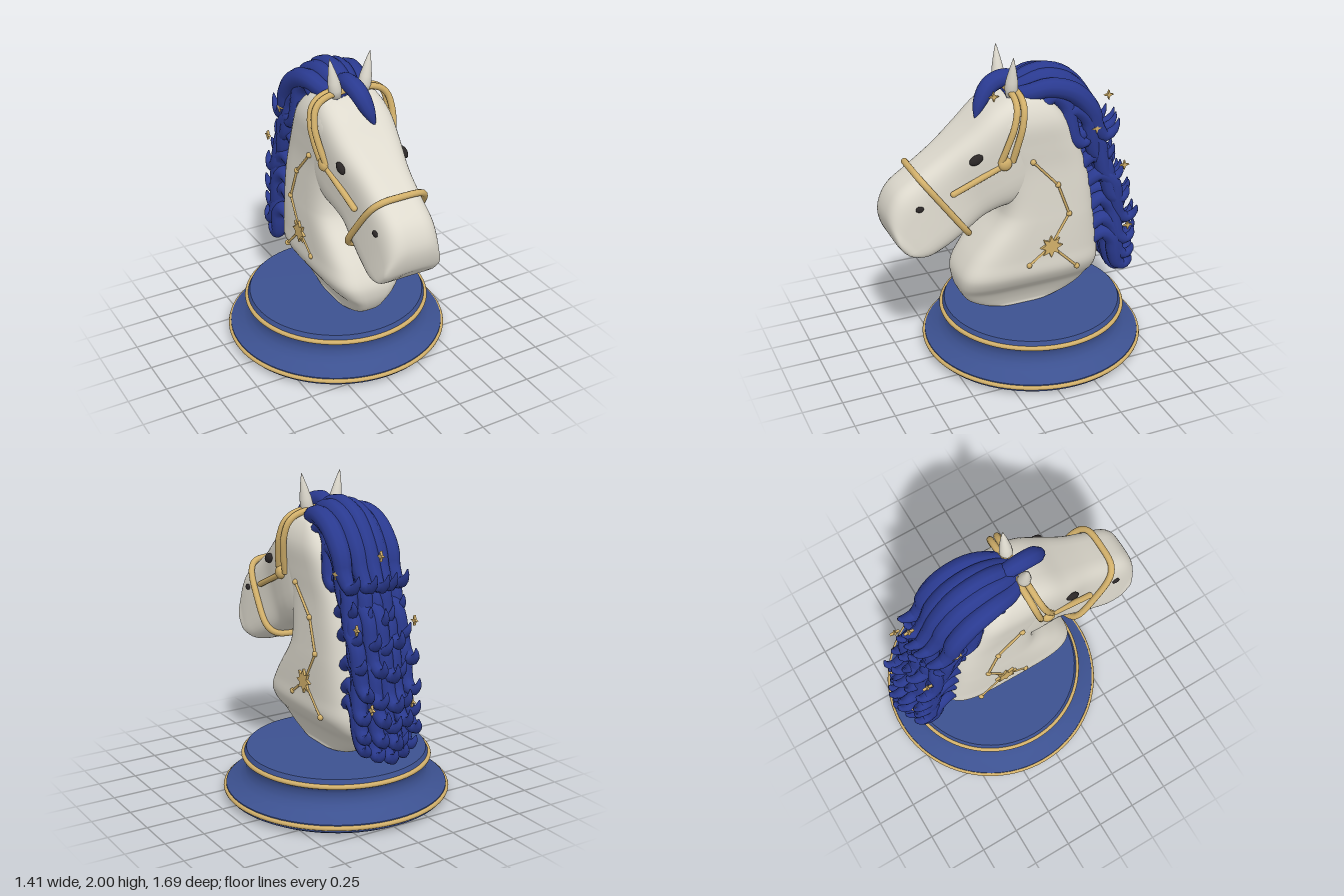
import * as THREE from 'three';
import { toCreasedNormals } from 'three/addons/utils/BufferGeometryUtils.js';

const V = (x, y, z) => new THREE.Vector3(x, y, z);

const material = (name, color) => {
  const m = new THREE.MeshStandardMaterial({ color });
  m.name = name;
  return m;
};

// Smooth skin through closed loops of points, counterclockwise about the direction of travel
function loft(loops, perGap = 1) {
  const n = loops[0].length, rows = (loops.length - 1) * perGap;
  const columns = loops[0].map((_, j) => new THREE.CatmullRomCurve3(loops.map(l => l[j])));
  const pos = [], index = [];
  for (let i = 0; i <= rows; i++) {
    for (let j = 0; j < n; j++) {
      const p = columns[j].getPoint(i / rows);
      pos.push(p.x, p.y, p.z);
      if (i === rows) continue;
      const a = i * n + j, b = i * n + (j + 1) % n;
      index.push(a, b, a + n, b, b + n, a + n);
    }
  }
  const g = new THREE.BufferGeometry();
  g.setAttribute('position', new THREE.Float32BufferAttribute(pos, 3));
  g.setIndex(index);
  g.computeVertexNormals();
  return g;
}

// Rounded trapezoid between two points of the side outline, with a half-width at each
function section([z1, y1, z0, y0, w1, w0], grow = 0) {
  const loop = [], bow = t => Math.sign(t) * Math.sqrt(Math.abs(t));
  const len = Math.hypot(z1 - z0, y1 - y0), k = (len + 2 * grow) / len;
  for (let j = 0; j < 48; j++) {
    const a = j / 48 * Math.PI * 2, u = bow(Math.cos(a)), v = bow(Math.sin(a));
    const w = THREE.MathUtils.lerp(w0, w1, (v + 1) / 2) + grow;
    loop.push(V(u * w, (y1 + y0) / 2 + v * k * (y1 - y0) / 2, (z1 + z0) / 2 + v * k * (z1 - z0) / 2));
  }
  return loop;
}
const collapse = ([z1, y1, z0, y0]) => Array.from({ length: 48 }, () => V(0, (y1 + y0) / 2, (z1 + z0) / 2));
const body = rows => loft([collapse(rows[0]), ...rows.map(r => section(r)), collapse(rows.at(-1))], 5);

// Tapered lock of hair
function lock(points, radius) {
  const curve = new THREE.CatmullRomCurve3(points), n = 26, loops = [];
  const { normals, binormals } = curve.computeFrenetFrames(n);
  for (let i = 0; i <= n; i++) {
    const t = i / n, c = curve.getPointAt(t);
    const r = radius * (0.7 + 0.6 * t) * Math.pow(1 - t * t * t, 0.9) + 0.003;
    loops.push(Array.from({ length: 10 }, (_, j) => {
      const a = j / 10 * Math.PI * 2;
      return c.clone().addScaledVector(normals[i], r * Math.cos(a)).addScaledVector(binormals[i], r * Math.sin(a));
    }));
  }
  return loft(loops);
}

// Star plate facing sideways
function star(points, outer, inner, depth) {
  const shape = new THREE.Shape();
  for (let i = 0; i < points * 2; i++) {
    const r = i % 2 ? inner : outer, a = i / points * Math.PI;
    shape[i ? 'lineTo' : 'moveTo'](r * Math.sin(a), r * Math.cos(a));
  }
  const g = new THREE.ExtrudeGeometry(shape, { depth, bevelEnabled: false });
  return g.translate(0, 0, -depth / 2).rotateY(Math.PI / 2);
}

const rod = (a, b, r) => new THREE.TubeGeometry(new THREE.LineCurve3(a, b), 1, r, 10);

export function createModel() {
  const model = new THREE.Group();
  const ivory = material('ivory', 0xdedace);
  const blue = material('base blue', 0x3c5190);
  const indigo = material('mane blue', 0x2a3a90);
  const gold = material('gold', 0xd2b06a);
  const dark = material('dark', 0x2b2727);
  const add = (name, geometry, mat, x = 0, y = 0, z = 0) => {
    const m = new THREE.Mesh(geometry, mat);
    m.name = name;
    m.position.set(x, y, z);
    model.add(m);
    return m;
  };

  // Round pedestal with two gold rims
  const profile = [[0, 0], [0.64, 0], [0.685, 0.025], [0.695, 0.05], [0.69, 0.075], [0.655, 0.09], [0.605, 0.115],
    [0.57, 0.145], [0.555, 0.18], [0.552, 0.215], [0.562, 0.245], [0.58, 0.262], [0.57, 0.285], [0.56, 0.305], [0, 0.307]];
  const base = new THREE.LatheGeometry(profile.map(p => new THREE.Vector2(...p)), 72);
  add('base', toCreasedNormals(base, 0.6), blue, 0, 0, -0.105);
  for (const [r, y] of [[0.692, 0.055], [0.578, 0.264]])
    add('baseRim', new THREE.TorusGeometry(r, 0.015, 10, 80).rotateX(Math.PI / 2), gold, 0, y, -0.105);

  // Neck, from the poll down to the foot: front z, back z, half-width at each height
  const neck = [[1.755, 0.07, -0.06, 0.15], [1.7, 0.17, -0.17, 0.2], [1.6, 0.25, -0.26, 0.235], [1.45, 0.23, -0.335, 0.232],
    [1.3, 0.16, -0.395, 0.225], [1.13, 0.13, -0.44, 0.23], [1.0, 0.138, -0.458, 0.235], [0.934, 0.17, -0.467, 0.238],
    [0.82, 0.265, -0.485, 0.24], [0.705, 0.355, -0.502, 0.24], [0.6, 0.41, -0.51, 0.24], [0.52, 0.412, -0.5, 0.2],
    [0.45, 0.39, -0.465, 0.14], [0.385, 0.345, -0.415, 0.105], [0.33, 0.25, -0.31, 0.085], [0.305, 0.14, -0.17, 0.08]];
  add('neck', body(neck.map(([y, f, b, w]) => [f, y, b, y, w, w])), ivory);

  // Head, from the poll to the muzzle: top z, y, bottom z, y, half-widths
  const head = [[0.0, 1.72, -0.06, 1.15, 0.2, 0.19], [0.06, 1.755, 0.0, 1.09, 0.235, 0.21], [0.2, 1.7, 0.1, 1.055, 0.24, 0.21],
    [0.355, 1.57, 0.175, 1.04, 0.22, 0.2], [0.51, 1.45, 0.265, 1.005, 0.185, 0.19], [0.67, 1.34, 0.377, 0.934, 0.172, 0.2],
    [0.81, 1.236, 0.51, 0.86, 0.168, 0.212], [0.865, 1.1, 0.64, 0.82, 0.165, 0.215], [0.835, 0.955, 0.745, 0.852, 0.18, 0.19]];
  add('head', body(head), ivory);

  // Noseband and the two straps over the poll
  const band = (name, points, closed) => add(name,
    new THREE.TubeGeometry(new THREE.CatmullRomCurve3(points, closed), 120, 0.02, 10, closed), gold);
  band('noseband', section(head[5], 0.018), true);
  for (const [zTop, zEnd] of [[0.085, 0.195], [0.045, 0.12]]) {
    const half = [[0.225, 1.39, 1], [0.25, 1.5, 0.7], [0.262, 1.62, 0.35], [0.235, 1.72, 0.1], [0.16, 1.768, 0]]
      .map(([x, y, t]) => V(x, y, THREE.MathUtils.lerp(zTop, zEnd, t)));
    band('headStrap', [...half, ...half.map(p => V(-p.x, p.y, p.z)).reverse()], false);
  }

  // Lines of the star pattern on the neck: z, y
  const dots = [[-0.01, 1.363], [-0.175, 1.183], [-0.25, 0.976], [-0.13, 0.775], [0.015, 0.668], [-0.31, 0.594]];
  const links = [[0, 1], [1, 2], [2, 3], [3, 4], [3, 5]];

  for (const s of [1, -1]) {
    // Ear
    const ear = [[0, 0], [0.03, 0.01], [0.04, 0.06], [0.036, 0.11], [0.022, 0.18], [0.008, 0.24], [0, 0.265]];
    add('ear', new THREE.LatheGeometry(ear.map(p => new THREE.Vector2(...p)), 20), ivory, s * 0.088, 1.74, 0.075)
      .rotation.z = -s * 0.18;

    // Eye and nostril
    const eye = add('eye', new THREE.SphereGeometry(1, 20, 14), dark, s * 0.212, 1.435, 0.345);
    eye.scale.set(0.02, 0.03, 0.045);
    eye.rotation.x = 0.4;
    add('nostril', new THREE.SphereGeometry(1, 16, 12), dark, s * 0.18, 1.167, 0.69).scale.set(0.012, 0.019, 0.025);

    // Cheek strap with its rosette
    add('cheekStrap', rod(V(s * 0.222, 1.375, 0.17), V(s * 0.2, 1.235, 0.485), 0.019), gold);
    add('cheekStrapEnd', new THREE.SphereGeometry(0.019, 12, 10), gold, s * 0.2, 1.235, 0.485);
    add('rosette', new THREE.SphereGeometry(1, 20, 14), gold, s * 0.232, 1.385, 0.17).scale.set(0.028, 0.042, 0.042);

    // Star pattern
    const at = ([z, y]) => V(s * (y > 1.1 ? 0.232 : 0.24), y, z);
    dots.forEach((d, i) => {
      const p = at(d);
      if (i === 3) add('neckStar', star(8, 0.075, 0.042, 0.03), gold, p.x, p.y, p.z);
      else add('neckDot', new THREE.SphereGeometry(0.018, 12, 10), gold, p.x, p.y, p.z);
    });
    for (const [a, b] of links) add('neckLine', rod(at(dots[a]), at(dots[b]), 0.008), gold);
  }

  // Mane: rows of curling locks rooted along the crest
  const roots = [[-0.1, 1.7, 1], [-0.23, 1.56, 1], [-0.31, 1.42, 1], [-0.37, 1.26, 0.98], [-0.41, 1.1, 1],
    [-0.43, 0.96, 0.95], [-0.45, 0.81, 0.86], [-0.46, 0.7, 0.78]];
  const curl = [[0, 0], [-0.1, 0.055], [-0.2, -0.03], [-0.23, -0.18], [-0.265, -0.31], [-0.34, -0.355], [-0.395, -0.31], [-0.4, -0.25]];
  const rows = [[0, 1], [0.06, 0.92], [-0.06, 0.95], [0.145, 0.82], [-0.145, 0.82]];
  rows.forEach(([x, size], r) => {
    roots.forEach(([z, y, k], i) => {
      const wave = Math.sin(i * 2.3 + r * 1.7), f = k * size * (1 + 0.04 * wave);
      const pts = curl.map(([dz, dy], j) =>
        V(x * (1 + 0.03 * j) + 0.012 * wave * Math.sin(j), y + dy * f + 0.02 * wave, z + dz * f));
      add('maneLock', lock(pts, 0.054), indigo);
    });
    // Long lock sweeping over the top of the crest
    const d = Math.abs(x) * 0.35;
    add('crestLock', lock([V(x * 0.4, 1.73, 0.08), V(x * 0.8, 1.81 - d, -0.03), V(x, 1.835 - d, -0.15), V(x * 1.1, 1.785 - d, -0.3),
      V(x * 1.15, 1.65 - d, -0.42), V(x * 1.15, 1.5, -0.5 + d), V(x * 1.15, 1.42, -0.57 + d), V(x * 1.15, 1.46, -0.64 + d),
      V(x * 1.15, 1.52, -0.66 + d)], 0.068), indigo);
  });

  // Forelock
  add('forelock', lock([V(0, 1.77, -0.05), V(-0.01, 1.825, 0.06), V(0, 1.8, 0.17), V(0.025, 1.71, 0.245), V(0.05, 1.62, 0.285)], 0.06), indigo);

  // Small sparkles in the hair: x, y, z
  const sparkles = [[0.06, 1.745, 0.17], [0.1, 1.73, -0.345], [0.02, 1.617, -0.61], [0.21, 1.5, -0.435], [0.2, 1.215, -0.64], [0.14, 0.748, -0.715]];
  for (const [x, y, z] of sparkles)
    for (const s of x > 0.07 ? [1, -1] : [1]) add('sparkle', star(4, 0.032, 0.011, 0.016), gold, s * x, y, z);

  return model;
}
